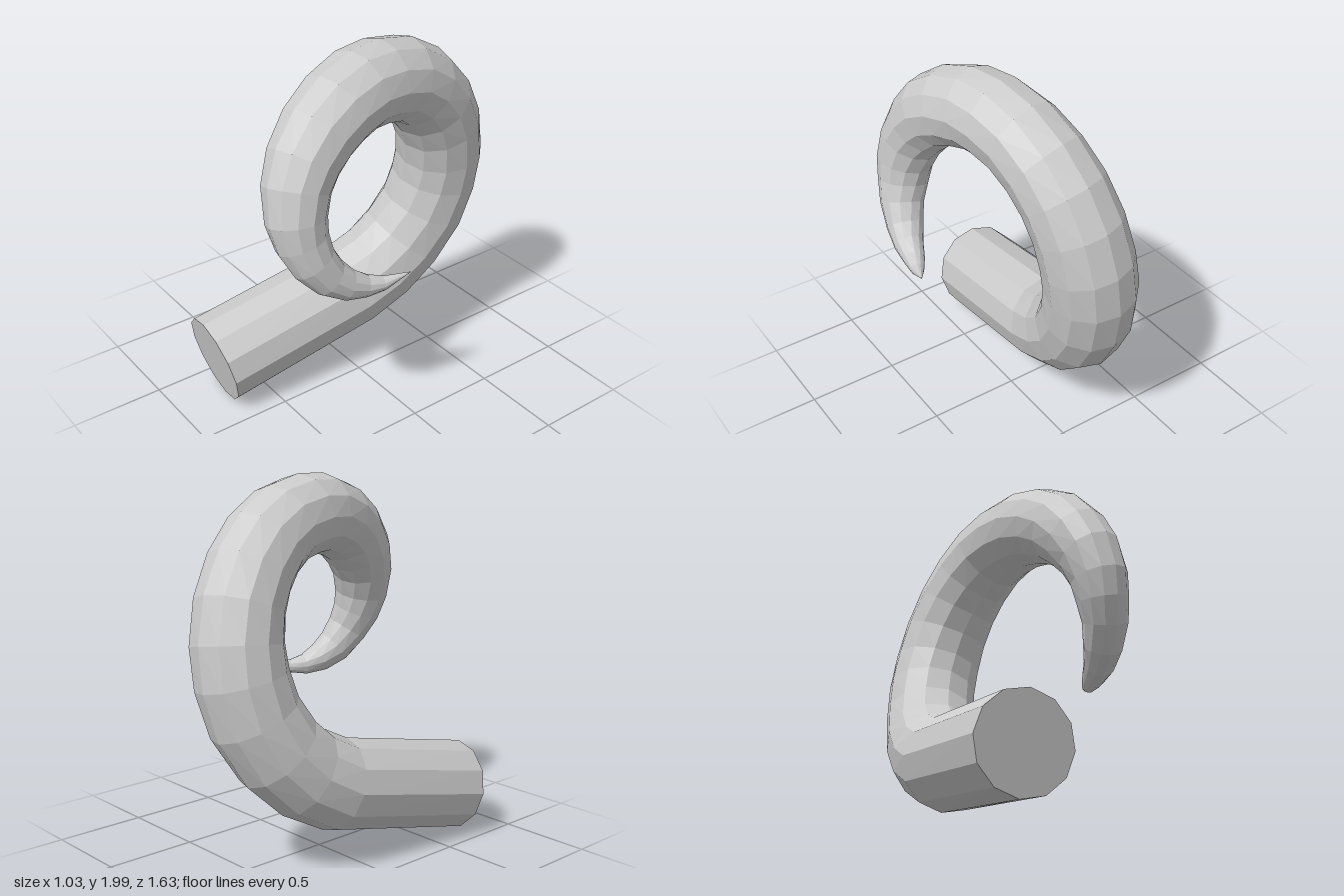
import * as THREE from 'three';

const SIDES = 12;

// Stations along the horn, base to tip: centre x, y, z and radius
const STATIONS = [
  [-0.27, 0.25, 0.765, 0.248], [-0.21, 0.43, -0.08, 0.246], [-0.18, 0.53, -0.27, 0.244],
  [-0.15, 0.665, -0.415, 0.242], [-0.11, 0.85, -0.525, 0.24], [-0.08, 1.04, -0.575, 0.238],
  [-0.05, 1.21, -0.577, 0.235], [-0.02, 1.39, -0.535, 0.23], [0.01, 1.545, -0.45, 0.225],
  [0.04, 1.665, -0.335, 0.22], [0.07, 1.75, -0.19, 0.216], [0.1, 1.785, -0.03, 0.214],
  [0.13, 1.785, 0.115, 0.21], [0.165, 1.74, 0.265, 0.205], [0.195, 1.665, 0.39, 0.196],
  [0.22, 1.555, 0.49, 0.183], [0.25, 1.44, 0.553, 0.168], [0.285, 1.3, 0.58, 0.15],
  [0.31, 1.19, 0.567, 0.134], [0.345, 1.085, 0.53, 0.117], [0.375, 0.985, 0.455, 0.1],
  [0.405, 0.925, 0.37, 0.08], [0.43, 0.895, 0.275, 0.057], [0.46, 0.893, 0.19, 0.036],
  [0.51, 0.935, 0.06, 0],
];

// Sweeps a tapering ring through the stations, with a flat base and a pointed tip
function sweptHorn(stations) {
  const centres = stations.map(([x, y, z]) => new THREE.Vector3(x, y, z));
  const last = centres.length - 1;
  const direction = (i) => centres[i + 1].clone().sub(centres[i]).normalize();
  const positions = [];
  const index = [];

  centres.forEach((centre, i) => {
    // Each ring bisects the bend between its two neighbouring segments
    const tangent = direction(Math.max(i - 1, 0)).add(direction(Math.min(i, last - 1))).normalize();
    const side = new THREE.Vector3(1, 0, 0).addScaledVector(tangent, -tangent.x).normalize();
    const outer = side.clone().cross(tangent);
    for (let j = 0; j < SIDES; j++) {
      const angle = (j / SIDES) * Math.PI * 2;
      const radius = stations[i][3];
      const p = centre.clone()
        .addScaledVector(outer, Math.cos(angle) * radius)
        .addScaledVector(side, Math.sin(angle) * radius);
      positions.push(p.x, p.y, p.z);
    }
  });

  for (let i = 0; i < last; i++) {
    for (let j = 0; j < SIDES; j++) {
      const k = (j + 1) % SIDES;
      const a = i * SIDES + j;
      const b = i * SIDES + k;
      index.push(a, b, a + SIDES);
      if (i < last - 1) index.push(b, b + SIDES, a + SIDES);
    }
  }

  // Base cap
  for (let j = 1; j < SIDES - 1; j++) index.push(0, j + 1, j);

  const geometry = new THREE.BufferGeometry();
  geometry.setAttribute('position', new THREE.Float32BufferAttribute(positions, 3));
  geometry.setIndex(index);
  const flat = geometry.toNonIndexed();
  flat.computeVertexNormals();
  return flat;
}

export function createModel() {
  const group = new THREE.Group();
  group.name = 'curledHorn';
  const material = new THREE.MeshStandardMaterial({ color: 0xcccccc, flatShading: true });
  const horn = new THREE.Mesh(sweptHorn(STATIONS), material);
  horn.name = 'horn';
  group.add(horn);
  return group;
}
